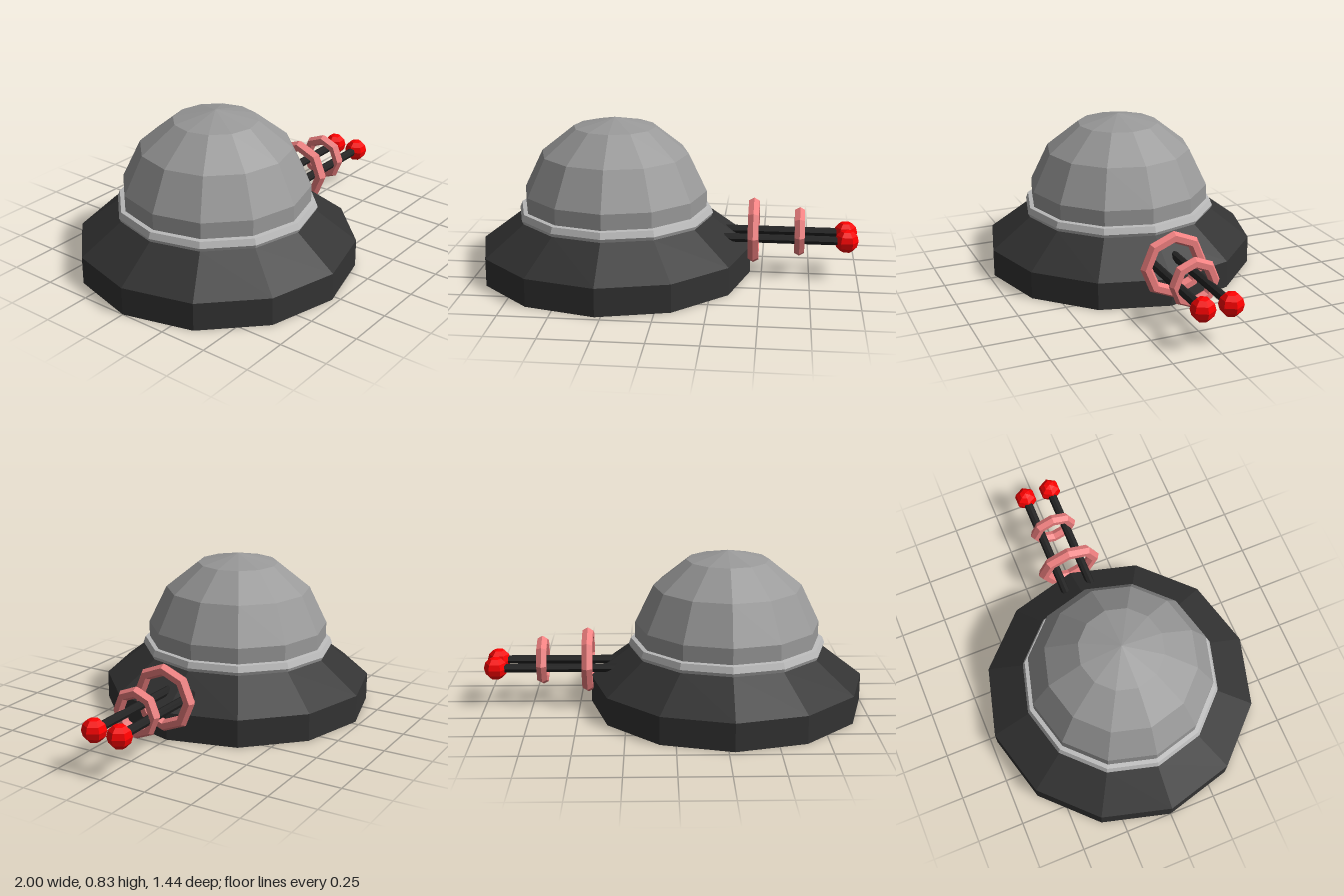
import * as THREE from 'three';

const SIDES = 12;
const mat = (color) => new THREE.MeshStandardMaterial({ color, flatShading: true });

export function createModel() {
  const model = new THREE.Group();
  const dark = mat(0x333333), black = mat(0x222222), domeGrey = mat(0x999999);
  const trim = mat(0xbbbbbb), coral = mat(0xf08080), red = mat(0xff0000);

  const add = (name, geometry, material, x, y, z = 0) => {
    const mesh = new THREE.Mesh(geometry, material);
    mesh.name = name;
    mesh.position.set(x, y, z);
    model.add(mesh);
    return mesh;
  };
  const lathe = (points) =>
    new THREE.LatheGeometry(points.map(([r, y]) => new THREE.Vector2(r, y)), SIDES);

  // Body: flared base, collar and faceted dome share one off-centre axis
  const cx = -0.28;
  add('base', lathe([[0, 0], [0.72, 0], [0.72, 0.145], [0.51, 0.305], [0, 0.305]]), dark, cx, 0);
  add('collar', lathe([[0.47, 0.304], [0.51, 0.304], [0.519, 0.323], [0.507, 0.355], [0.47, 0.36]]), trim, cx, 0);
  add('dome', new THREE.SphereGeometry(0.497, SIDES, 4, 0, Math.PI * 2, 0, Math.PI * 4 / 7), domeGrey, cx, 0.33);

  // Twin rods with ball tips, pointing along +x
  for (const side of [-1, 1]) {
    const z = side * 0.073;
    const rod = add('rod', new THREE.CylinderGeometry(0.024, 0.024, 0.72, 8), black, 0.56, 0.212, z);
    rod.rotation.z = -Math.PI / 2;
    add('rodTip', new THREE.SphereGeometry(0.062, 6, 6), red, 0.938, 0.212, z);
  }

  // Octagonal hoops around the rods, smaller towards the tips
  for (const [x, radius, tube] of [[0.455, 0.147, 0.032], [0.695, 0.104, 0.03]]) {
    const hoop = add('hoop', new THREE.TorusGeometry(radius, tube, 6, 8), coral, x, 0.233);
    hoop.rotation.y = Math.PI / 2;
  }
  return model;
}
